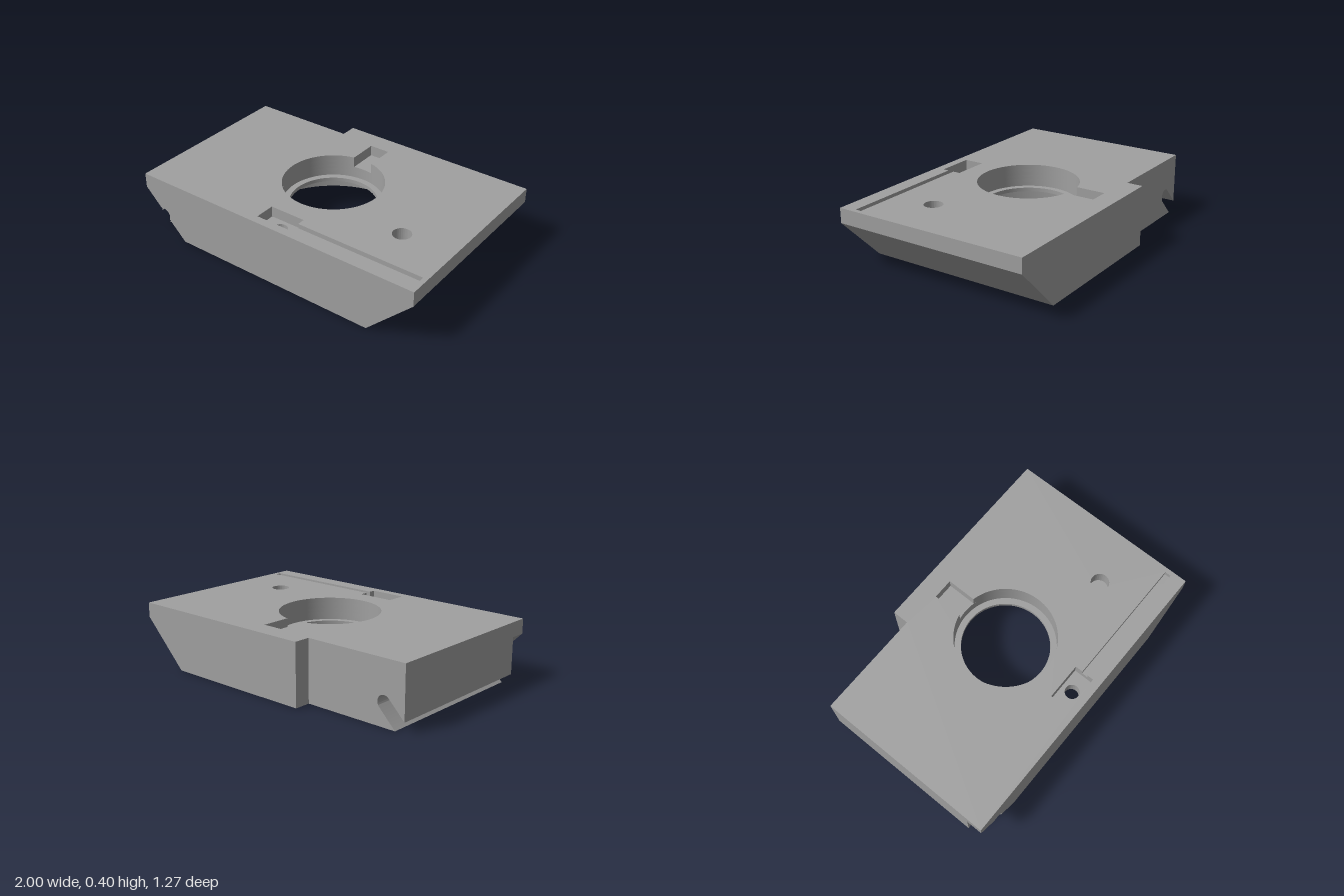
import * as THREE from 'three';
import { toCreasedNormals } from 'three/addons/utils/BufferGeometryUtils.js';

const TOP = 0.395, CHAMFER_TOP = 0.3, BACK = 0.635, STEP = 0.53, CORE = 0.6;

export function createModel() {
  const group = new THREE.Group();
  const grey = new THREE.MeshStandardMaterial({ color: 0xa0a0a0 });

  function add(name, shape, depth) {
    const geo = new THREE.ExtrudeGeometry(shape, { depth, bevelEnabled: false, curveSegments: 64 });
    const mesh = new THREE.Mesh(toCreasedNormals(geo, 0.5), grey);
    mesh.name = name;
    group.add(mesh);
    return mesh;
  }

  // Horizontal layer: plan shape drawn in (x, -z), raised from y0 to y1
  function layer(name, shape, y0, y1, holes = []) {
    shape.holes.push(...holes);
    const mesh = add(name, shape, y1 - y0);
    mesh.rotation.x = -Math.PI / 2;
    mesh.position.y = y0;
  }

  // Side profile in (x, y), extruded from z0 to z1
  function bar(name, shape, z0, z1) {
    add(name, shape, z1 - z0).position.z = z0;
  }

  const polygon = (...pts) => new THREE.Shape(pts.map(([x, y]) => new THREE.Vector2(x, y)));
  const circle = (x, z, r) => new THREE.Path().absarc(x, -z, r, 0, Math.PI * 2, false);
  const disc = r => new THREE.Shape().absarc(0, 0, r, 0, Math.PI * 2, false);

  // Plan outline with the stepped back corner
  const outline = w => polygon([-w, -BACK], [w, -BACK], [w, BACK], [-0.31, BACK], [-0.31, STEP], [-w, STEP]);

  // Openings in the top
  const boltHole = () => circle(0, 0.52, 0.045);
  const blindHole = () => circle(0.655, 0.225, 0.058);
  const keyhole = () => {
    const w = 0.067, a = Math.asin(w / 0.32);
    const p = new THREE.Path();
    p.absarc(0, 0, 0.32, Math.PI / 2 + a, Math.PI * 2.5 - a, false);
    p.lineTo(w, 0.505);
    p.lineTo(-w, 0.505);
    p.closePath();
    return p;
  };
  const pocket = () => polygon([-0.12, -0.58], [0.12, -0.58], [0.12, -0.45], [-0.12, -0.45]);
  const pocketWithGroove = () => polygon([-0.12, -0.58], [0.12, -0.58], [0.12, -0.54], [0.97, -0.54],
    [0.97, -0.5], [0.12, -0.5], [0.12, -0.45], [-0.12, -0.45]);

  // Upper plate, one layer for each pocket depth
  layer('plateBase', outline(1), CHAMFER_TOP, 0.325, [circle(0, 0, 0.32), boltHole(), blindHole()]);
  layer('plateMiddle', outline(1), 0.325, 0.365, [keyhole(), pocket(), blindHole()]);
  layer('plateTop', outline(1), 0.365, TOP, [keyhole(), pocketWithGroove(), blindHole()]);

  // Core with the round recess opening below
  layer('recessWall', outline(CORE), 0, 0.24, [circle(0, 0, 0.585)]);
  layer('recessStep', outline(CORE), 0.24, CHAMFER_TOP, [circle(0, 0, 0.45), boltHole()]);

  // Collar and inner lip around the through hole
  layer('collar', disc(0.345), 0.25, CHAMFER_TOP, [circle(0, 0, 0.32)]);
  layer('lip', disc(0.345), 0.225, 0.25, [circle(0, 0, 0.28)]);

  // Chamfered side on +x
  bar('chamferedSide', polygon([CORE, 0], [0.7, 0], [1, CHAMFER_TOP], [CORE, CHAMFER_TOP]), -BACK, BACK);

  // Squared side on -x, with a round-ended diagonal slot along it
  const cx = -0.86, cy = 0.142, r = 0.045;
  const slotted = new THREE.Shape();
  slotted.moveTo(-CORE, 0);
  slotted.lineTo(-CORE, CHAMFER_TOP);
  slotted.lineTo(-1, CHAMFER_TOP);
  slotted.lineTo(-1, 0.066);
  slotted.absarc(cx, cy, r, Math.PI * 0.75, -Math.PI * 0.25, true);
  slotted.lineTo(-0.938, 0);
  slotted.closePath();
  bar('slottedSide', slotted, -STEP, STEP);

  // Chamfered front end of the -x side, where the slot only grazes it
  const half = Math.acos((-0.7 - cx - cy) / Math.SQRT2 / r);
  const frontEnd = new THREE.Shape();
  frontEnd.moveTo(-CORE, 0);
  frontEnd.lineTo(-CORE, CHAMFER_TOP);
  frontEnd.lineTo(-1, CHAMFER_TOP);
  frontEnd.absarc(cx, cy, r, Math.PI / 4 + half, Math.PI / 4 - half, true);
  frontEnd.lineTo(-0.7, 0);
  frontEnd.closePath();
  bar('slottedSideFrontEnd', frontEnd, STEP, BACK);

  return group;
}
